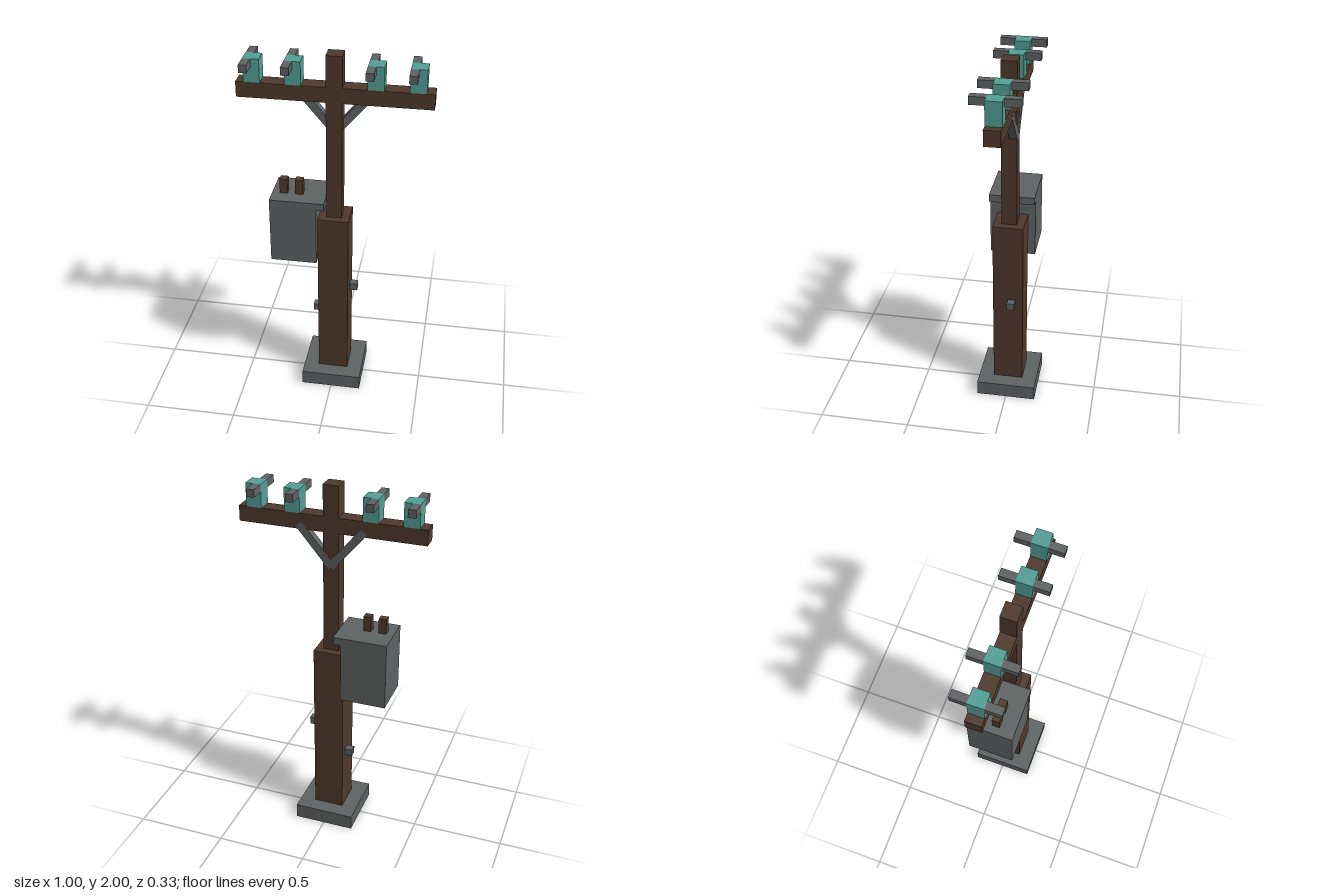
import * as THREE from 'three';

const U = 2 / 48; // one grid block

export function createModel() {
  const model = new THREE.Group();
  model.name = 'utilityPole';

  const material = (name, color) => {
    const m = new THREE.MeshStandardMaterial({ color });
    m.name = name;
    return m;
  };
  const wood = material('dark wood', 0x4f392c);
  const metal = material('grey metal', 0x5f6363);
  const glass = material('teal glass', 0x539f95);

  // Box between two corners given in blocks
  const block = (name, mat, [x0, y0, z0], [x1, y1, z1]) => {
    const geo = new THREE.BoxGeometry((x1 - x0) * U, (y1 - y0) * U, (z1 - z0) * U);
    const mesh = new THREE.Mesh(geo, mat);
    mesh.position.set((x0 + x1) * U / 2, (y0 + y1) * U / 2, (z0 + z1) * U / 2);
    mesh.name = name;
    model.add(mesh);
    return mesh;
  };

  // Foot and stepped pole
  block('footPad', metal, [-4, 0, -4], [4, 2, 4]);
  block('lowerPole', wood, [-2, 2, -2], [2, 26, 2]);
  block('upperPole', wood, [-1, 26, -1], [1, 48, 1]);

  // Climbing pegs
  block('rightPeg', metal, [-3, 10, -1], [-2, 11, 0]);
  block('leftPeg', metal, [2, 14, -1], [3, 15, 0]);

  // Crossarm on both sides of the pole
  block('leftCrossarm', wood, [1, 42, -1], [12, 44, 1]);
  block('rightCrossarm', wood, [-12, 42, -1], [-1, 44, 1]);

  // Insulators, each with a wire stub in front and behind
  for (const x of [-11, -6, 4, 9]) {
    block('insulator', glass, [x, 44, -1], [x + 2, 47, 1]);
    block('frontWire', metal, [x, 46, 1], [x + 1, 47, 3]);
    block('backWire', metal, [x, 46, -3], [x + 1, 47, -1]);
  }

  // Diagonal braces under the crossarm, just proud of the pole's back
  const tilt = THREE.MathUtils.degToRad(50);
  const length = 6.6;
  for (const side of [-1, 1]) {
    const brace = block('brace', metal, [-length / 2, -0.5, -1.02], [length / 2, 0.5, -0.02]);
    brace.position.x = side * 2.05 * U;
    brace.position.y = 40.1 * U;
    brace.rotation.z = side * tilt;
  }

  // Transformer with a lid that reaches the upper pole, and two bushings
  block('transformerTank', metal, [-8, 20, -3], [-2, 28, 3]);
  block('transformerLid', metal, [-8, 28, -3], [-1, 29, 3]);
  for (const x of [-7, -5]) block('bushing', wood, [x, 29, 0], [x + 1, 31, 1]);

  return model;
}
